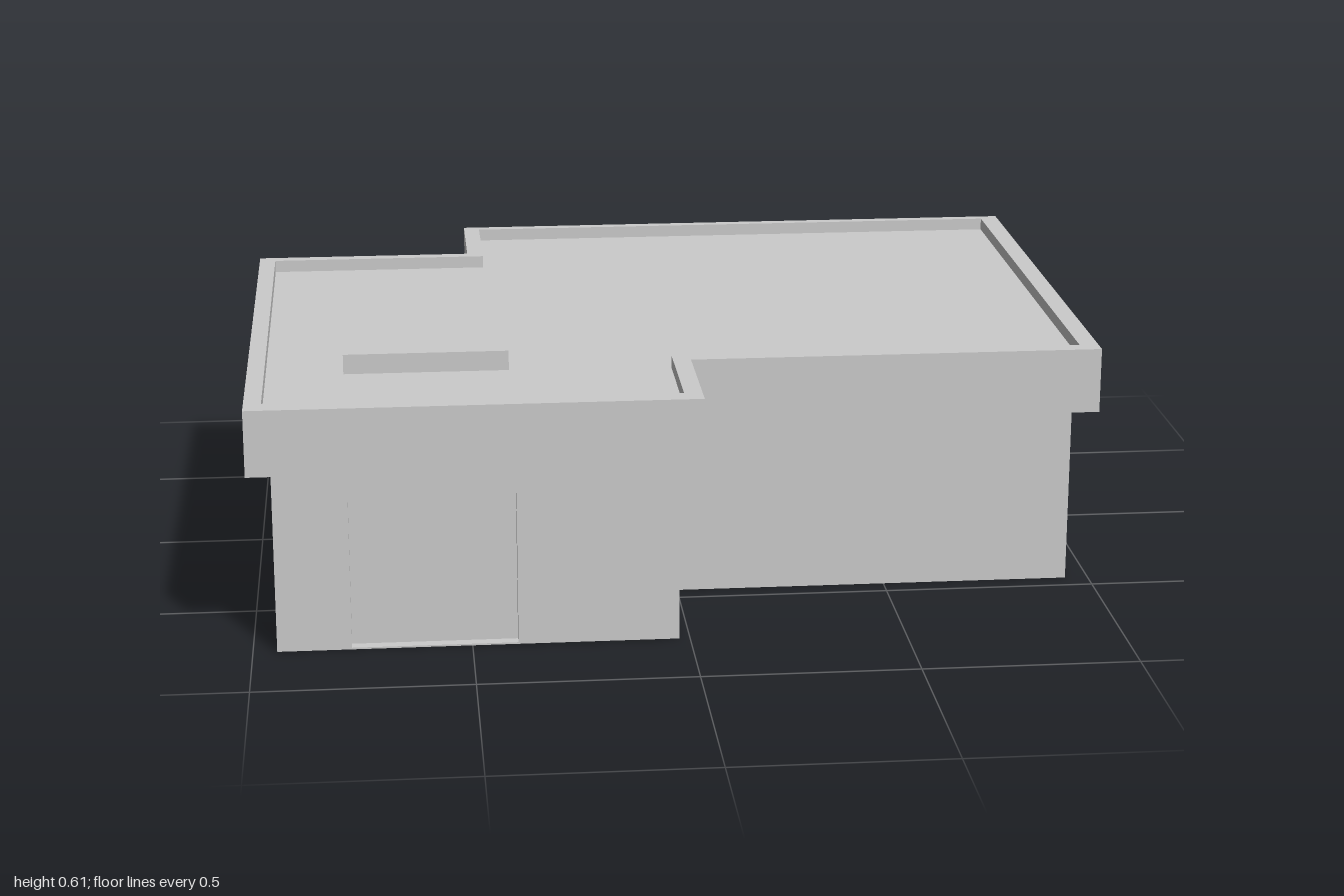
import * as THREE from 'three';

const material = new THREE.MeshStandardMaterial({ color: 0xcccccc, flatShading: true });

// Stepped plan as [x, z] corners, from its outer lines and the lines of the two steps
function plan({ left, right, front, back, frontStep, backStep }) {
  return [
    [left, front], [frontStep[0], front], frontStep, [right, frontStep[1]],
    [right, back], [backStep[0], back], backStep, [left, backStep[1]],
  ];
}

const toPoints = (corners) => corners.map(([x, z]) => new THREE.Vector2(x, -z));

// Upright prism over a plan between two heights, optionally hollow
function prism(name, corners, y0, y1, hole) {
  const shape = new THREE.Shape(toPoints(corners));
  if (hole) shape.holes.push(new THREE.Path(toPoints(hole)));
  const geometry = new THREE.ExtrudeGeometry(shape, { depth: y1 - y0, bevelEnabled: false });
  geometry.rotateX(-Math.PI / 2).translate(0, y0, 0);
  const mesh = new THREE.Mesh(geometry, material);
  mesh.name = name;
  return mesh;
}

// Cuts shallow recesses into a plan; recesses[i] lists [start, end] along edge i
function withRecesses(corners, recesses, depth) {
  return corners.flatMap(([ax, az], i) => {
    const [bx, bz] = corners[(i + 1) % corners.length];
    const length = Math.hypot(bx - ax, bz - az);
    const dx = (bx - ax) / length, dz = (bz - az) / length;
    const at = (along, inward) => [ax + dx * along + dz * inward, az + dz * along - dx * inward];
    const cuts = (recesses[i] || []).flatMap(([s, e]) => [at(s, 0), at(s, depth), at(e, depth), at(e, 0)]);
    return [[ax, az], ...cuts];
  });
}

function roofBox(name, x0, x1, z0, z1, y0, y1) {
  const mesh = new THREE.Mesh(new THREE.BoxGeometry(x1 - x0, y1 - y0, z1 - z0), material);
  mesh.position.set((x0 + x1) / 2, (y0 + y1) / 2, (z0 + z1) / 2);
  mesh.name = name;
  return mesh;
}

export function createModel() {
  const group = new THREE.Group();
  group.name = 'flatRoofBuilding';

  const wallPlan = plan({ left: -0.945, right: 0.945, front: 0.765, back: -0.765,
    frontStep: [-0.025, 0.45], backStep: [-0.41, -0.48] });
  const roofPlan = plan({ left: -1, right: 1, front: 0.81, back: -0.81,
    frontStep: [0.027, 0.5], backStep: [-0.46, -0.53] });
  const deckPlan = plan({ left: -0.96, right: 0.955, front: 0.76, back: -0.785,
    frontStep: [-0.015, 0.46], backStep: [-0.42, -0.5] });

  // Door and window recesses, by wall
  const recesses = {
    0: [[0.17, 0.55]],                   // front
    3: [[0.35, 0.585]],                  // +x side
    4: [[0.18, 0.99]],                   // back, wide
    6: [[0.2, 0.37]],                    // back, stepped part
    7: [[0.335, 0.57], [0.635, 0.925]],  // -x side
  };

  group.add(
    prism('floorSlab', wallPlan, 0, 0.004),
    prism('walls', withRecesses(wallPlan, recesses, 0.025), 0.004, 0.365),
    prism('wallHeader', wallPlan, 0.365, 0.435),
    prism('parapet', roofPlan, 0.435, 0.59, deckPlan),
    prism('roofDeck', deckPlan, 0.435, 0.56),
    roofBox('largeRoofBox', -0.78, -0.395, 0.155, 0.445, 0.56, 0.607),
    roofBox('smallRoofBox', -0.78, -0.525, -0.14, 0.095, 0.56, 0.585),
  );
  return group;
}
